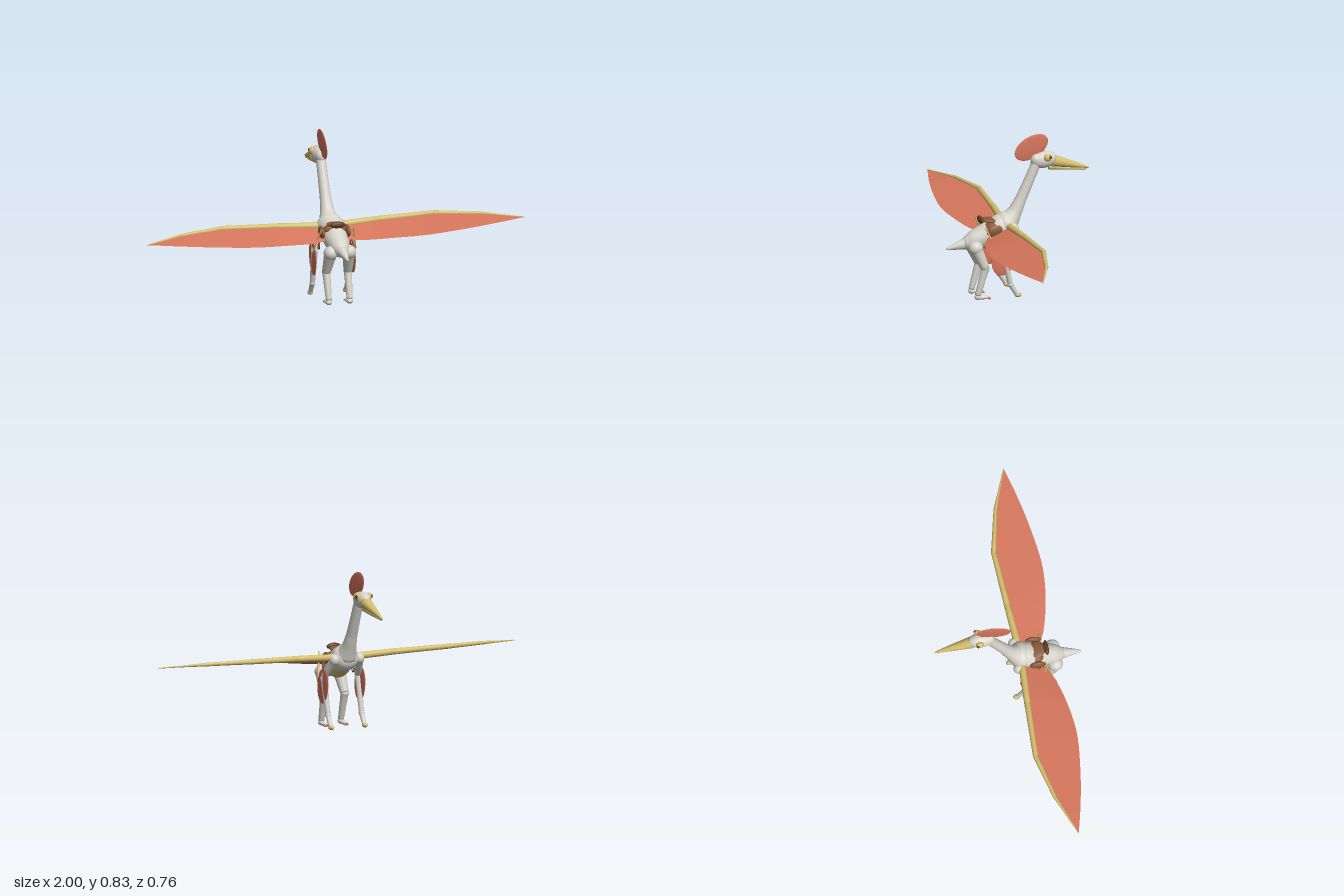
import * as THREE from 'three';

const mat = (name, color, side = THREE.FrontSide) => {
  const m = new THREE.MeshStandardMaterial({ color, side });
  m.name = name;
  return m;
};
const V = (p) => new THREE.Vector3(...p);

// Round tapering tube through points, with a radius at each point and flat end caps
function loftGeometry(points, radii, rings = 16, sides = 18) {
  const curve = new THREE.CatmullRomCurve3(points.map(V));
  const { normals, binormals } = curve.computeFrenetFrames(rings);
  const pos = [], index = [];
  for (let i = 0; i <= rings; i++) {
    const c = curve.getPointAt(i / rings);
    const t = curve.getUtoTmapping(i / rings) * (radii.length - 1);
    const k = Math.min(Math.floor(t), radii.length - 2);
    const r = THREE.MathUtils.lerp(radii[k], radii[k + 1], t - k);
    for (let j = 0; j < sides; j++) {
      const a = (j / sides) * Math.PI * 2;
      const v = c.clone().addScaledVector(normals[i], r * Math.cos(a)).addScaledVector(binormals[i], r * Math.sin(a));
      pos.push(v.x, v.y, v.z);
    }
  }
  for (let i = 0; i < rings; i++) for (let j = 0; j < sides; j++) {
    const a = i * sides + j, b = i * sides + ((j + 1) % sides), c = a + sides, d = b + sides;
    index.push(a, b, c, b, d, c);
  }
  const first = pos.length / 3, last = first + 1;
  pos.push(...points[0], ...points[points.length - 1]);
  for (let j = 0; j < sides; j++) {
    const k = (j + 1) % sides, o = rings * sides;
    index.push(first, k, j, last, o + j, o + k);
  }
  const g = new THREE.BufferGeometry();
  g.setAttribute('position', new THREE.Float32BufferAttribute(pos, 3));
  g.setIndex(index);
  g.computeVertexNormals();
  return g;
}

export function createModel() {
  const root = new THREE.Group();
  root.name = 'saddledPterosaur';
  const hide = mat('pale grey hide', 0xd6d3ca);
  const horn = mat('horn yellow', 0xd2bd6c);
  const red = mat('coral red', 0xd6765c);
  const skin = mat('coral wing skin', 0xd6765c, THREE.DoubleSide);
  const leather = mat('brown leather', 0x8a5a38);
  const dark = mat('dark brown leather', 0x5e3c26);

  const add = (name, geometry, material) => {
    const m = new THREE.Mesh(geometry, material);
    m.name = name;
    root.add(m);
    return m;
  };
  const loft = (name, points, radii, material, rings) => add(name, loftGeometry(points, radii, rings), material);
  const ball = (name, center, size, material, tilt = 0) => {
    const m = add(name, new THREE.SphereGeometry(1, 28, 18), material);
    m.position.set(...center);
    m.scale.set(...size);
    m.rotation.x = tilt;
    return m;
  };

  // Trunk, belly and tail
  loft('body', [[0, 0.285, 0.285], [0, 0.298, 0.24], [0, 0.328, 0.16], [0, 0.365, 0.08], [0, 0.385, 0.035]],
    [0.028, 0.05, 0.063, 0.067, 0.05], hide, 24);
  ball('chest', [0, 0.372, 0.062], [0.07, 0.067, 0.055], hide, 0.3);
  ball('belly', [0, 0.312, 0.12], [0.048, 0.046, 0.09], horn, 0.49);
  loft('tail', [[0, 0.292, 0.26], [0, 0.28, 0.32], [0, 0.268, 0.375]], [0.034, 0.02, 0.006], hide);
  ball('tailTip', [0, 0.268, 0.373], [0.006, 0.006, 0.005], hide);

  // Neck, head, beak and crest
  loft('neck', [[0, 0.385, 0.05], [0, 0.435, 0.015], [0, 0.5, -0.017], [0, 0.6, -0.063], [0, 0.69, -0.102]],
    [0.056, 0.037, 0.029, 0.026, 0.025], hide, 24);
  ball('head', [0, 0.697, -0.138], [0.037, 0.043, 0.07], hide, 0.1);
  ball('nape', [0, 0.7, -0.1], [0.03, 0.032, 0.031], hide);
  loft('upperBeak', [[0, 0.688, -0.185], [0, 0.66, -0.285], [0, 0.634, -0.376]], [0.031, 0.018, 0.004], horn);
  loft('lowerBeak', [[0, 0.656, -0.165], [0, 0.64, -0.27], [0, 0.628, -0.367]], [0.014, 0.009, 0.004], horn);
  ball('crest', [0, 0.767, -0.073], [0.006, 0.058, 0.095], red, 0.49);

  // Saddle
  ball('saddleSeat', [0, 0.403, 0.15], [0.044, 0.011, 0.042], leather, -0.05);
  ball('saddleBase', [0, 0.375, 0.145], [0.058, 0.026, 0.045], leather, 0.3);
  ball('saddleCantle', [0, 0.409, 0.197], [0.04, 0.017, 0.013], dark);

  for (const s of [-1, 1]) {
    const side = s > 0 ? 'left' : 'right';
    const P = (list) => list.map(([x, y, z]) => [s * x, y, z]);

    // Eye and pupil
    ball(side + 'Eye', [s * 0.032, 0.715, -0.15], [0.016, 0.02, 0.02], horn);
    ball(side + 'Pupil', [s * 0.041, 0.718, -0.16], [0.008, 0.01, 0.009], dark);

    // Wing bones, straight from joint to joint
    const bones = P([[0.04, 0.374, 0.062], [0.27, 0.385, 0.048], [0.56, 0.392, 0.034], [0.79, 0.386, 0.088], [1, 0.371, 0.171]]);
    const girth = [0.019, 0.016, 0.013, 0.009, 0.002];
    for (let i = 0; i < 4; i++) {
      loft(side + 'WingBone' + (i + 1), [bones[i], bones[i + 1]], [girth[i], girth[i + 1]], horn, 4);
      if (i) ball(side + 'WingJoint' + i, bones[i], [girth[i], girth[i], girth[i]], horn);
    }

    // Wing membrane between the bones and the curved trailing edge
    const trail = new THREE.CatmullRomCurve3(P([[0.04, 0.325, 0.17], [0.13, 0.324, 0.21], [0.27, 0.333, 0.247], [0.45, 0.341, 0.267],
      [0.66, 0.352, 0.246], [0.85, 0.363, 0.21], [1, 0.371, 0.172]]).map(V));
    const pos = [], index = [], n = 48;
    for (let i = 0; i <= n; i++) {
      const b = trail.getPoint(i / n), x = Math.abs(b.x);
      let k = 0;
      while (k < 3 && x > Math.abs(bones[k + 1][0])) k++;
      const t = (x - Math.abs(bones[k][0])) / Math.abs(bones[k + 1][0] - bones[k][0]);
      const a = V(bones[k]).lerp(V(bones[k + 1]), t);
      pos.push(a.x, a.y, a.z, b.x, b.y, b.z);
      const q = i * 2;
      if (i < n) index.push(...(s > 0 ? [q, q + 1, q + 2, q + 1, q + 3, q + 2] : [q, q + 2, q + 1, q + 1, q + 2, q + 3]));
    }
    const g = new THREE.BufferGeometry();
    g.setAttribute('position', new THREE.Float32BufferAttribute(pos, 3));
    g.setIndex(index);
    g.computeVertexNormals();
    add(side + 'WingMembrane', g, skin);

    // Hind leg
    const [hip, knee, ankle] = P([[0.048, 0.275, 0.237], [0.057, 0.165, 0.188], [0.055, 0.025, 0.228]]);
    ball(side + 'Hip', hip, [0.036, 0.036, 0.038], hide);
    loft(side + 'Thigh', [hip, knee], [0.036, 0.022], hide);
    ball(side + 'Knee', knee, [0.022, 0.022, 0.022], hide);
    loft(side + 'Shin', [knee, ankle], [0.022, 0.015], hide);
    ball(side + 'Heel', [s * 0.055, 0.016, 0.226], [0.017, 0.015, 0.018], hide);
    ball(side + 'Foot', [s * 0.055, 0.014, 0.202], [0.018, 0.0115, 0.034], hide);
    for (const d of [-0.01, 0, 0.01]) ball(side + 'Claw', [s * 0.055 + d, 0.008, 0.17], [0.004, 0.005, 0.011], red, -0.4);

    // Front leg
    const [shoulder, elbow, wrist, palm] = P([[0.07, 0.365, 0.045], [0.096, 0.268, 0.112], [0.094, 0.08, 0.066], [0.094, 0.025, 0.032]]);
    ball(side + 'Shoulder', shoulder, [0.026, 0.03, 0.03], hide);
    loft(side + 'UpperArm', [shoulder, elbow], [0.026, 0.017], hide);
    ball(side + 'Elbow', elbow, [0.017, 0.017, 0.017], hide);
    loft(side + 'Forearm', [elbow, wrist], [0.019, 0.013], hide);
    ball(side + 'Wrist', wrist, [0.015, 0.014, 0.016], hide);
    loft(side + 'Hand', [wrist, palm], [0.014, 0.011], hide);
    ball(side + 'HandTip', [s * 0.094, 0.022, 0.027], [0.014, 0.012, 0.019], horn);
    ball(side + 'ArmFan', [s * 0.104, 0.225, 0.106], [0.006, 0.092, 0.062], red, -0.2);

    // Saddle flap, stirrup and slanted rod
    ball(side + 'SaddleFlap', [s * 0.068, 0.362, 0.142], [0.014, 0.03, 0.042], leather, 0.2);
    loft(side + 'StirrupStrap', P([[0.08, 0.35, 0.147], [0.084, 0.3, 0.147]]), [0.005, 0.005], leather, 2);
    const ring = add(side + 'Stirrup', new THREE.TorusGeometry(0.012, 0.003, 8, 20), dark);
    ring.position.set(s * 0.084, 0.29, 0.147);
    ring.rotation.y = Math.PI / 2;
    loft(side + 'SaddleRod', P([[0.085, 0.39, 0.195], [0.112, 0.268, 0.143]]), [0.004, 0.004], horn, 2);
  }
  return root;
}
